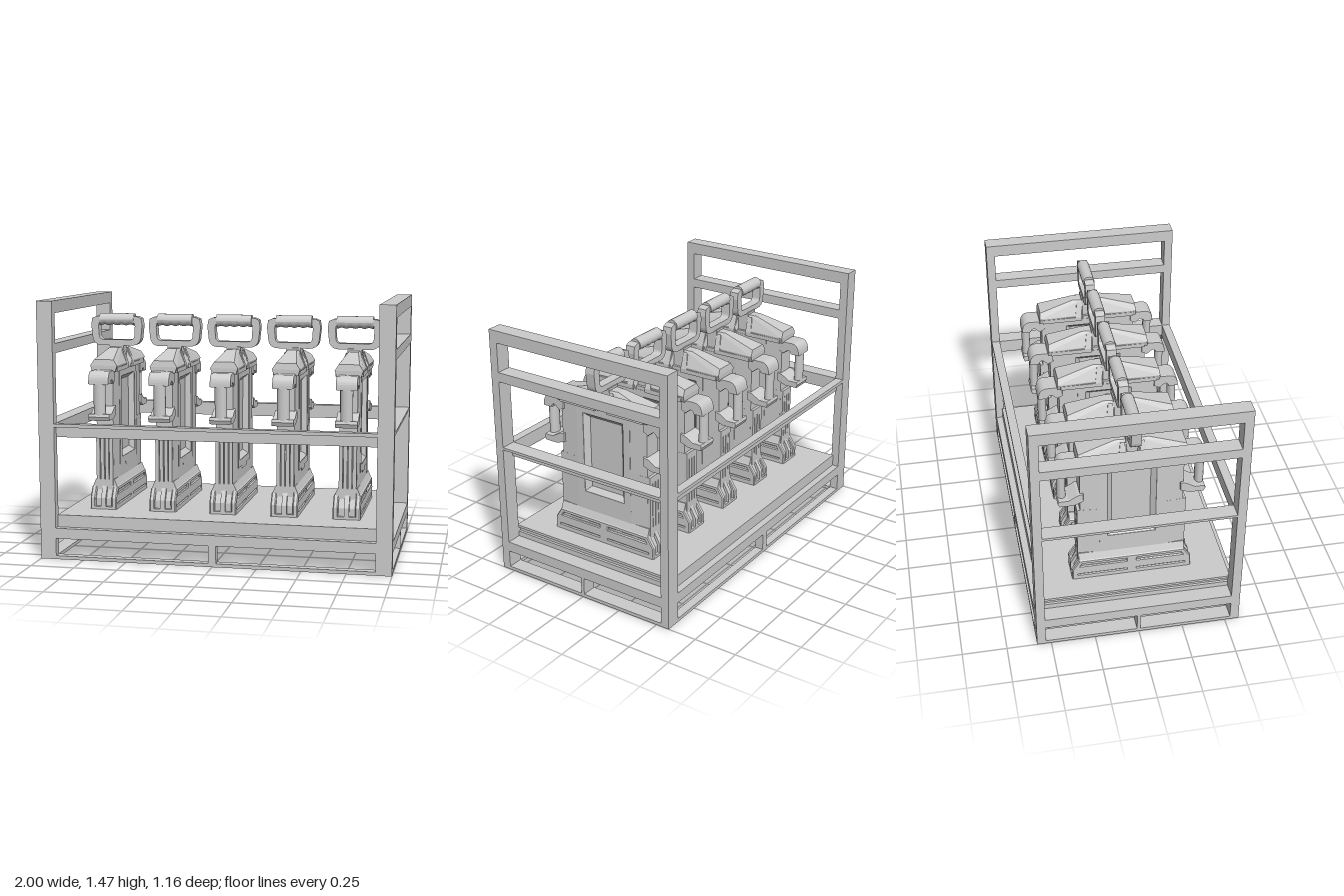
import * as THREE from 'three';
import { ConvexGeometry } from 'three/addons/geometries/ConvexGeometry.js';

const grey = new THREE.MeshStandardMaterial({ color: 0xcccccc });
const flat = new THREE.MeshStandardMaterial({ color: 0xcccccc, flatShading: true });

function add(parent, name, geometry, material = flat) {
  const mesh = new THREE.Mesh(geometry, material);
  mesh.name = name;
  parent.add(mesh);
  return mesh;
}

// Box given by its limits on each axis
function block(parent, name, x0, x1, y0, y1, z0, z1) {
  const g = new THREE.BoxGeometry(x1 - x0, y1 - y0, z1 - z0);
  g.translate((x0 + x1) / 2, (y0 + y1) / 2, (z0 + z1) / 2);
  return add(parent, name, g);
}

// Faceted solid around a few points, optionally mirrored in x
const hull = (pts, sides) => new ConvexGeometry(
  sides.flatMap(s => pts.map(([x, y, z]) => new THREE.Vector3(s * x, y, z))));

const poly = pts => new THREE.Shape(pts.map(p => new THREE.Vector2(...p)));
const rect = (a, b, c, d) => poly([[a, c], [b, c], [b, d], [a, d]]);

// Side profile (z, y) extruded across x, centred on x = cx
function slab(shape, width, cx = 0, bevelThickness = 0, bevelSize = 0) {
  const depth = width - 2 * bevelThickness;
  const g = new THREE.ExtrudeGeometry(shape, {
    depth, bevelEnabled: bevelThickness > 0, bevelThickness, bevelSize, bevelSegments: 1, curveSegments: 8,
  });
  return g.translate(0, 0, -depth / 2).rotateY(-Math.PI / 2).translate(cx, 0, 0);
}

// Closed outline mirrored over z = 0 from its +z half, bottom to top
const mirrored = half => poly([...half, ...half.slice().reverse().map(([z, y]) => [-z, y])]);

function createFrame() {
  const frame = new THREE.Group();
  frame.name = 'frame';
  for (const s of [-1, 1]) {
    const xs = s > 0 ? [0.91, 1] : [-1, -0.91];
    const zs = s > 0 ? [0.53, 0.58] : [-0.58, -0.53];
    for (const [a, b] of [[0.53, 0.58], [-0.58, -0.53]]) block(frame, 'cornerPost', ...xs, 0, 1.47, a, b);
    // end rails
    for (const [y0, y1] of [[1.4, 1.47], [1.175, 1.23], [0.12, 0.18], [0, 0.02]])
      block(frame, 'endRail', ...xs, y0, y1, -0.53, 0.53);
    // long rails
    for (const [y0, y1] of [[0.12, 0.18], [0, 0.02]])
      block(frame, 'longRail', -0.91, 0.91, y0, y1, ...zs);
    // guard rails: angle sections with the flange on top
    const longWeb = s > 0 ? [0.53, 0.54] : [-0.54, -0.53];
    const endWeb = s > 0 ? [0.91, 0.925] : [-0.925, -0.91];
    block(frame, 'longGuardFlange', -0.91, 0.91, 0.76, 0.78, ...zs);
    block(frame, 'longGuardWeb', -0.91, 0.91, 0.7, 0.76, ...longWeb);
    block(frame, 'endGuardFlange', ...xs, 0.765, 0.78, -0.53, 0.53);
    block(frame, 'endGuardWeb', ...endWeb, 0.7, 0.765, -0.53, 0.53);
    // short stubs under the deck
    block(frame, 'longStub', -0.022, 0.022, 0.02, 0.12, ...zs);
    block(frame, 'endStub', ...xs, 0.02, 0.12, -0.01, 0.01);
    block(frame, 'deckFascia', -0.91, 0.91, 0.18, 0.25, ...longWeb);
  }
  // deck with grooved ends
  for (const [x, y0, y1] of [[0.91, 0.17, 0.21], [0.895, 0.21, 0.235], [0.91, 0.235, 0.25]])
    block(frame, 'deck', -x, x, y0, y1, -0.53, 0.53);
  return frame;
}

function createBody(can) {
  // middle of the body, with a bevelled recess on each side
  const middle = mirrored([[0.16, 0.36], [0.16, 1.035]]);
  middle.holes.push(rect(-0.135, 0.135, 0.53, 1.01));
  add(can, 'bodyMiddle', slab(middle, 0.114, 0, 0.032, 0.03));
  block(can, 'recessedPanel', -0.028, 0.028, 0.53, 1.01, -0.135, 0.135);
  block(can, 'bodyTop', -0.057, 0.057, 1.03, 1.07, -0.17, 0.17);
  block(can, 'bodyBottom', -0.057, 0.057, 0.33, 0.4, -0.2, 0.2);

  const border = mirrored([[0.06, 0.47], [0.07, 0.49], [0.18, 0.49], [0.18, 1.05]]);
  border.holes.push(rect(-0.135, 0.135, 0.53, 1.01));
  for (const s of [-1, 1]) add(can, 'panelBorder', slab(border, 0.004, s * 0.057));

  // foot: inset core, slotted side plates, front and back ribs
  add(can, 'footCore', slab(mirrored([[0.322, 0.25], [0.322, 0.31], [0.285, 0.39]]), 0.136));
  for (const s of [-1, 1]) {
    const plate = mirrored([[0.335, 0.25], [0.335, 0.315], [0.297, 0.375]]);
    for (const side of [-1, 1]) {
      const slot = poly([[0.025, 0.335], [0.3, 0.335], [0.285, 0.36], [0.025, 0.36]].map(([z, y]) => [side * z, y]));
      plate.holes.push(slot, rect(Math.min(side * 0.025, side * 0.31), Math.max(side * 0.025, side * 0.31), 0.274, 0.286));
    }
    add(can, 'footPlate', slab(plate, 0.03, s * 0.063, 0.006, 0.005));
    block(can, 'footLip', -0.06, 0.06, 0.25, 0.265, s * 0.33 - 0.01, s * 0.33 + 0.01);
  }
  add(can, 'footShoulder', hull([-0.3, 0.3].flatMap(z => [[0.076, 0.37, z], [0.056, 0.42, z]]), [-1, 1]));
  add(can, 'footRib', slab(mirrored([[0.34, 0.25], [0.34, 0.315], [0.302, 0.385]]), 0.028));
}

function createEnd(can, side) {
  const end = new THREE.Group();
  end.name = side > 0 ? 'frontEnd' : 'backEnd';
  end.rotation.y = side > 0 ? 0 : Math.PI;
  can.add(end);

  // tapered ends of the body; the lower part stands slightly proud
  const taper = (name, y0, y1, z, x) => add(end, name,
    hull([y0, y1].flatMap(y => [[0.04, y, 0.14], [0.057, y, 0.15], [0.057, y, 0.18], [x, y, z]]), [-1, 1]));
  taper('bodyEnd', 0.36, 1.06, 0.287, 0.05);
  taper('lowerCollar', 0.36, 0.42, 0.304, 0.05);
  taper('upperCollar', 0.69, 0.73, 0.304, 0.05);
  // lower face with three fine grooves
  for (const x of [-0.039, -0.0135, 0.0135, 0.039])
    block(end, 'faceStrip', x - 0.0105, x + 0.0105, 0.42, 0.69, 0.25, 0.304);

  // sloping shoulder, narrowing towards the neck
  add(end, 'shoulder', hull([[0.068, 1.05, 0.3], [0.08, 1.085, 0.3], [0.058, 1.12, 0.295], [0.065, 1.045, 0.04],
    [0.072, 1.085, 0.04], [0.028, 1.172, 0.09], [0.032, 1.172, 0.03], [0.06, 1.045, 0.03]], [-1, 1]));
  for (const s of [-1, 1]) {
    add(end, 'shoulderLedge', slab(rect(0.04, 0.28, 1.05, 1.075), 0.02, s * 0.068));
    add(end, 'shoulderFin', hull([[0.078, 1.075, 0.04], [0.078, 1.075, 0.08], [0.045, 1.165, 0.04],
      [0.045, 1.165, 0.065], [0.03, 1.07, 0.04], [0.03, 1.07, 0.08]], [s]));
  }

  // end handle: rounded bracket, grip and lower foot
  const bracket = new THREE.Shape();
  bracket.moveTo(0.27, 1.0).lineTo(0.27, 1.045).lineTo(0.31, 1.06).lineTo(0.365, 1.06);
  bracket.quadraticCurveTo(0.408, 1.055, 0.408, 0.99);
  bracket.lineTo(0.355, 0.99).quadraticCurveTo(0.35, 1.015, 0.33, 1.01).lineTo(0.3, 0.985);
  add(end, 'handleBracket', slab(bracket, 0.118, 0, 0.008, 0.002));
  const grip = new THREE.CylinderGeometry(0.025, 0.025, 0.2, 14);
  grip.scale(1.4, 1, 1).translate(0, 0.895, 0.383);
  add(end, 'handleGrip', grip, grey);
  const foot = poly([[0.27, 0.8], [0.32, 0.78], [0.4, 0.78], [0.408, 0.8], [0.403, 0.815], [0.35, 0.815], [0.3, 0.845], [0.27, 0.85]]);
  add(end, 'handleFoot', slab(foot, 0.124, 0, 0.008, 0.002));
}

function createTopHandle(can) {
  block(can, 'neck', -0.042, 0.042, 1.04, 1.185, -0.035, 0.035);
  // loop with rounded corners
  const loop = (w, y0, y1, c) => {
    const s = new THREE.Shape();
    s.moveTo(-w + 2 * c, y0).lineTo(w - 2 * c, y0).quadraticCurveTo(w - c / 2, y0, w - c / 4, y0 + 1.3 * c);
    s.lineTo(w, y1 - 1.5 * c).lineTo(w - c / 5, y1 - c / 3).lineTo(w - c, y1).lineTo(-w + c, y1);
    s.lineTo(-w + c / 5, y1 - c / 3).lineTo(-w, y1 - 1.5 * c).lineTo(-w + c / 4, y0 + 1.3 * c);
    s.quadraticCurveTo(-w + c / 2, y0, -w + 2 * c, y0);
    return s;
  };
  const ring = loop(0.157, 1.18, 1.353, 0.034);
  ring.holes.push(loop(0.112, 1.214, 1.318, 0.016));
  const g = new THREE.ExtrudeGeometry(ring, { depth: 0.056, bevelEnabled: false, curveSegments: 6 });
  add(can, 'topHandleLoop', g.translate(0, 0, -0.028));

  // grip with finger waves along its underside
  const grip = new THREE.CylinderGeometry(0.036, 0.036, 0.21, 18, 32);
  grip.rotateZ(Math.PI / 2);
  const p = grip.attributes.position;
  for (let i = 0; i < p.count; i++) {
    const y = p.getY(i);
    if (y < 0) p.setY(i, y * (0.93 + 0.08 * Math.cos(p.getX(i) * 2 * Math.PI / 0.052)));
  }
  grip.computeVertexNormals();
  add(can, 'topHandleGrip', grip.translate(0, 1.334, 0), grey);
}

function createCan() {
  const can = new THREE.Group();
  can.name = 'can';
  createBody(can);
  createEnd(can, 1);
  createEnd(can, -1);
  createTopHandle(can);
  return can;
}

export function createModel() {
  const model = new THREE.Group();
  model.name = 'canRack';
  model.add(createFrame());
  const can = createCan();
  for (let i = 0; i < 5; i++) {
    const copy = can.clone();
    copy.position.x = -0.7 + 0.355 * i;
    model.add(copy);
  }
  return model;
}
